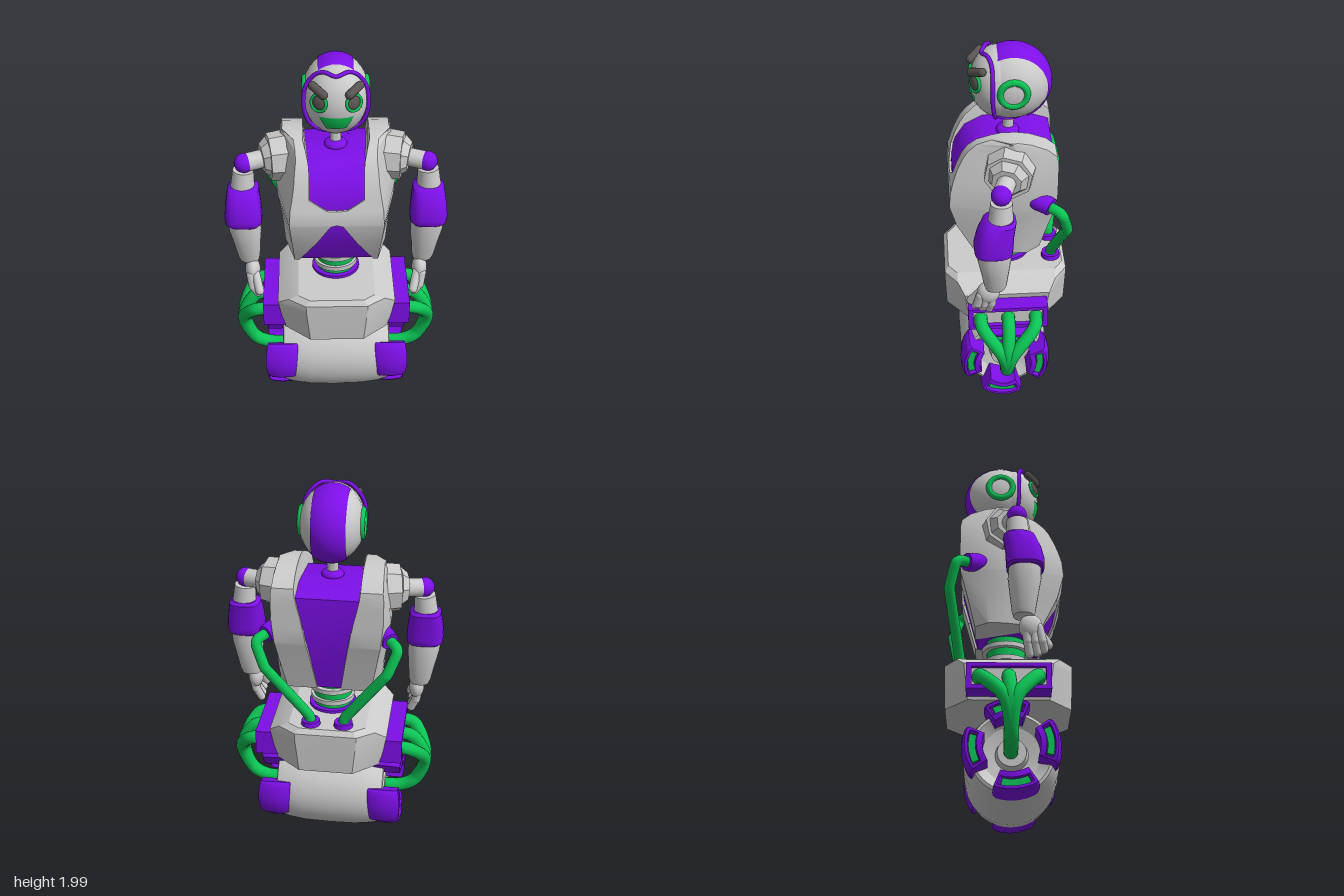
import * as THREE from 'three';
import { toCreasedNormals } from 'three/addons/utils/BufferGeometryUtils.js';

const material = (color) => new THREE.MeshStandardMaterial({ color, side: THREE.DoubleSide });
const grey = material(0xcccccc), purple = material(0x7d0fe8), green = material(0x0cc455), dark = material(0x5a5452);
const V = (x, y, z) => new THREE.Vector3(x, y, z);
const deg = Math.PI / 180;

// Reflected copy across x = 0, with the corner order reversed
function mirrored(geo) {
  const g = geo.clone().scale(-1, 1, 1);
  const n = g.attributes.position.count;
  const idx = g.index ? Array.from(g.index.array) : Array.from({ length: n }, (_, i) => i);
  for (let i = 0; i < idx.length; i += 3) [idx[i + 1], idx[i + 2]] = [idx[i + 2], idx[i + 1]];
  return g.setIndex(idx);
}

// Closed solid through rings of equal length, facing outward
function loft(rings, crease = 0.6) {
  const n = rings[0].length, pos = rings.flat(), idx = [];
  for (let i = 0; i < rings.length - 1; i++) for (let j = 0; j < n; j++) {
    const a = i * n + j, b = i * n + (j + 1) % n;
    idx.push(a, b, b + n, a, b + n, a + n);
  }
  [0, rings.length - 1].forEach((r, end) => {
    const mid = [0, 1, 2].map((k) => rings[r].reduce((s, p) => s + p[k], 0) / n);
    const c = pos.push(mid) - 1;
    for (let j = 0; j < n; j++) {
      const a = r * n + j, b = r * n + (j + 1) % n;
      if (end) idx.push(a, b, c); else idx.push(b, a, c);
    }
  });
  let volume = 0;
  for (let i = 0; i < idx.length; i += 3) {
    const [a, b, c] = [0, 1, 2].map((k) => V(...pos[idx[i + k]]));
    volume += a.dot(b.cross(c));
  }
  if (volume < 0) idx.reverse();
  const g = new THREE.BufferGeometry();
  g.setAttribute('position', new THREE.Float32BufferAttribute(pos.flat(), 3));
  return toCreasedNormals(g.setIndex(idx), crease);
}

// Rounded-square ring at height y
const ring = ([x, y, z, r], power = 0.75, n = 24) => Array.from({ length: n }, (_, i) => {
  const a = i / n * Math.PI * 2, f = (v) => Math.sign(v) * Math.abs(v) ** power * r;
  return [x + f(Math.cos(a)), y, z + f(Math.sin(a))];
});

// Section of [radius, x] points swept round the wheel axis
const sweep = (section, mid, half, steps = 16) => loft(Array.from({ length: steps + 1 }, (_, i) => {
  const t = i / steps * 2 - 1, a = mid + t * half;
  return section(t).map(([r, x]) => [x, 0.262 + r * Math.sin(a), 0.013 - r * Math.cos(a)]);
}), 0.5);

// Cylinder between two points
function rod(a, b, r1, r2 = r1, seg = 24) {
  const d = b.clone().sub(a), g = new THREE.CylinderGeometry(r2, r1, d.length(), seg);
  g.applyQuaternion(new THREE.Quaternion().setFromUnitVectors(V(0, 1, 0), d.normalize()));
  return toCreasedNormals(g.translate(...a.clone().add(b).multiplyScalar(0.5).toArray()), 0.6);
}
const ball = (x, y, z, rx, ry = rx, rz = rx) => new THREE.SphereGeometry(1, 32, 20).scale(rx, ry, rz).translate(x, y, z);
const hose = (pts, r, tension = 0.5, closed = false) => new THREE.TubeGeometry(
  new THREE.CatmullRomCurve3(pts.map((p) => V(...p)), closed, 'catmullrom', tension), 64, r, 12, closed);
const capsule = (a, b, r) => {
  const d = b.clone().sub(a), g = new THREE.CapsuleGeometry(r, d.length(), 6, 14);
  g.applyQuaternion(new THREE.Quaternion().setFromUnitVectors(V(0, 1, 0), d.normalize()));
  return g.translate(...a.clone().add(b).multiplyScalar(0.5).toArray());
};

export function createModel() {
  const model = new THREE.Group();
  const add = (name, geo, mat) => {
    const m = new THREE.Mesh(geo, mat);
    m.name = name;
    model.add(m);
  };
  const pair = (name, geo, mat) => {
    add(name + 'Left', geo, mat);
    add(name + 'Right', mirrored(geo), mat);
  };

  // Roller wheel with dished ends
  const half = [[0, 0.29], [0.07, 0.29], [0.08, 0.24], [0.14, 0.25], [0.19, 0.29], [0.205, 0.285], [0.222, 0.23], [0.234, 0.14]];
  const profile = [...half.map(([r, x]) => [r, -x]), [0.237, 0], ...half.slice().reverse()];
  const roller = new THREE.LatheGeometry(profile.map(([r, x]) => new THREE.Vector2(r, x)), 48);
  add('roller', toCreasedNormals(roller.rotateZ(-Math.PI / 2).translate(0, 0.247, 0.015), 0.5), grey);

  // Four crowned tread blocks on each end, grooved outside to hold a green arc
  const padSection = (t) => {
    const x = 0.385 - 0.012 * t * t, floor = Math.abs(t) < 0.8 ? 0.345 : x, e = Math.abs(t) === 1 ? 0.006 : 0;
    return [[0.138, 0.21], [0.22 - e, 0.21], [0.235 - e, 0.235], [0.24 - e, 0.3], [0.234 - e, 0.355], [0.222 - e, x],
      [0.208, x], [0.207, floor], [0.167, floor], [0.166, x], [0.138, x]];
  };
  for (let k = 0; k < 4; k++) {
    const a = (k * 90 - 6) * deg;
    pair('treadBlock' + k, sweep(padSection, a, 0.5), purple);
    pair('treadInset' + k, sweep(() => [[0.17, 0.33], [0.204, 0.33], [0.204, 0.365], [0.17, 0.365]], a, 0.36), green);
  }

  // Hips: stretched octagon with bevelled top
  const octagon = (y, x1, z1, x2, z2) => [[x1, z1], [x2, z2], [x2, -z2], [x1, -z1], [-x1, -z1], [-x2, -z2], [-x2, z2], [-x1, z1]]
    .map(([x, z]) => [x, y, z]);
  add('hips', loft([octagon(0.52, 0.14, 0.315, 0.275, 0.2), octagon(0.7, 0.158, 0.32, 0.308, 0.22),
    octagon(0.745, 0.16, 0.32, 0.25, 0.255), octagon(0.77, 0.14, 0.3, 0.2, 0.255)], 0.3), grey);

  // Side frames on the hips and the hoses running to the wheel hubs
  const rect = (x, y0, y1) => new THREE.Shape([[-x, y0], [x, y0], [x, y1], [-x, y1]].map((p) => new THREE.Vector2(...p)));
  const frame = rect(0.207, 0.535, 0.67);
  frame.holes.push(rect(0.18, 0.556, 0.65));
  pair('hipFrame', new THREE.ExtrudeGeometry(frame, { depth: 0.148, bevelEnabled: false })
    .rotateY(Math.PI / 2).translate(0.24, 0, 0), purple);
  pair('hipFramePanel', new THREE.BoxGeometry(0.1, 0.11, 0.37).translate(0.315, 0.603, 0), grey);
  [0.145, 0, -0.145].forEach((z, i) => pair('hubHose' + i, hose([[0.34, 0.6, z], [0.44, 0.575, z * 0.9],
    [0.503, 0.45, 0.008 + z * 0.2], [0.46, 0.31, 0.01], [0.38, 0.255, 0.01], [0.27, 0.247, 0.01]], 0.035), green));

  // Waist with rings
  const waist = (name, y0, y1, r, mat) => add(name, rod(V(0, y0, -0.01), V(0, y1, -0.01), r, r, 40), mat);
  waist('waistBase', 0.765, 0.785, 0.125, purple);
  waist('waistColumn', 0.77, 0.96, 0.1, green);
  waist('waistRingLower', 0.81, 0.835, 0.115, grey);
  waist('waistRingUpper', 0.88, 0.905, 0.125, grey);

  // Torso core
  const core = [[0.16, 0.942], [0.238, 1.1], [0.272, 1.235], [0.262, 1.33], [0.238, 1.4], [0.19, 1.475], [0.1, 1.52],
    [-0.12, 1.52], [-0.238, 1.48], [-0.238, 1.26], [-0.16, 0.942]];
  add('torsoCore', loft([-0.19, 0.19].map((x) => core.map(([z, y]) => [x, y, z]))), purple);

  // Torso shells, as [y, front z, back z, inner front x, front corner x, side x, back corner x, inner back x]
  const shell = [
    [0.94, 0.17, -0.17, 0.19, 0.215, 0.265, 0.215, 0.06], [1.1, 0.25, -0.21, 0.1, 0.225, 0.277, 0.245, 0.085],
    [1.22, 0.283, -0.243, 0.032, 0.235, 0.297, 0.265, 0.105], [1.23, 0.284, -0.246, 0, 0.235, 0.298, 0.267, 0.108],
    [1.308, 0.277, -0.25, 0, 0.23, 0.305, 0.275, 0.12], [1.31, 0.276, -0.25, 0.05, 0.23, 0.305, 0.275, 0.122],
    [1.365, 0.262, -0.25, 0.135, 0.22, 0.305, 0.28, 0.132], [1.43, 0.24, -0.25, 0.135, 0.21, 0.3, 0.28, 0.148],
    [1.49, 0.212, -0.25, 0.135, 0.205, 0.29, 0.28, 0.16], [1.53, 0.185, -0.243, 0.138, 0.2, 0.283, 0.275, 0.165],
    [1.57, 0.14, -0.195, 0.15, 0.2, 0.278, 0.272, 0.165], [1.6, 0.07, -0.115, 0.165, 0.21, 0.27, 0.268, 0.165],
    [1.61, 0.02, -0.05, 0.165, 0.21, 0.268, 0.265, 0.165]];
  pair('torsoShell', loft(shell.map(([y, zf, zb, xi, xc, xs, xb, xj]) => [[xi, y, zf], [xc, y, zf],
    [xs, y, zf * 0.45 + zb * 0.55], [xs, y, zf * 0.2 + zb * 0.8], [xb, y, zb], [xj, y, zb]]), 0.4), grey);

  // Back hoses and their sockets
  pair('backSocket', rod(V(0.25, 1.28, -0.13), V(0.315, 1.26, -0.215), 0.055, 0.045), purple);
  pair('backHose', hose([[0.29, 1.265, -0.18], [0.345, 1.25, -0.25], [0.352, 1.225, -0.27], [0.31, 1.12, -0.298],
    [0.29, 1.09, -0.296], [0.1, 0.83, -0.25], [0.085, 0.77, -0.245]], 0.028, 0.25), green);
  pair('hoseFoot', rod(V(0.085, 0.755, -0.245), V(0.085, 0.795, -0.245), 0.052, 0.047), purple);

  // Shoulders
  pair('shoulderHousing', rod(V(0.24, 1.46, -0.02), V(0.338, 1.46, 0), 0.13, 0.12, 8), grey);
  pair('shoulderCollar', rod(V(0.335, 1.46, 0), V(0.372, 1.457, 0.01), 0.105, 0.075, 8), grey);
  pair('shoulderAxle', rod(V(0.34, 1.457, 0), V(0.45, 1.45, 0.036), 0.047), grey);
  pair('shoulderBall', ball(0.46, 1.45, 0.04, 0.05), purple);

  // Arms
  pair('upperArm', rod(V(0.475, 1.28, 0.045), V(0.465, 1.41, 0.04), 0.065, 0.053), grey);
  pair('elbowSleeve', loft([[0.47, 1.325, 0.045, 0.062], [0.47, 1.31, 0.05, 0.08], [0.472, 1.24, 0.07, 0.09],
    [0.473, 1.17, 0.08, 0.096], [0.472, 1.14, 0.08, 0.094], [0.47, 1.13, 0.08, 0.085]].map((p) => ring(p, 0.65)), 0.7), purple);
  pair('forearm', loft([[0.47, 1.15, 0.077, 0.08], [0.468, 1.08, 0.076, 0.083], [0.461, 1.0, 0.073, 0.071],
    [0.455, 0.91, 0.071, 0.058], [0.453, 0.885, 0.071, 0.05]].map((p) => ring(p, 0.85)), 0.7), grey);

  // Hands: palm, curled fingers and thumb
  pair('palm', ball(0.438, 0.835, 0.105, 0.04, 0.065, 0.058), grey);
  [[0.155, 0.728], [0.12, 0.712], [0.085, 0.704]].forEach(([z, tip], i) => {
    pair('fingerBase' + i, capsule(V(0.447, 0.825, z * 0.8 + 0.02), V(0.437, 0.76, z + 0.005), 0.024), grey);
    pair('fingerTip' + i, capsule(V(0.437, 0.76, z + 0.005), V(0.412, tip, z + 0.015), 0.022), grey);
  });
  pair('thumb', capsule(V(0.422, 0.83, 0.14), V(0.402, 0.755, 0.192), 0.023), grey);

  // Neck
  add('neckBase', ball(0, 1.525, -0.02, 0.058, 0.028, 0.058), purple);
  add('neckPost', rod(V(0, 1.52, -0.02), V(0, 1.66, -0.03), 0.028), grey);
  add('neckCollar', rod(V(0, 1.6, -0.025), V(0, 1.625, -0.025), 0.036), grey);
  add('jawBase', rod(V(0, 1.635, -0.02), V(0, 1.69, -0.02), 0.075, 0.09), green);
  add('jawRim', new THREE.TorusGeometry(0.08, 0.008, 10, 36).rotateX(Math.PI / 2).translate(0, 1.637, -0.02), purple);

  // Head, face and crown stripe
  add('skull', ball(0, 1.805, -0.04, 0.163, 0.192, 0.192), grey);
  add('face', ball(0, 1.805, 0.025, 0.155, 0.182, 0.14), grey);
  add('crownStripe', new THREE.SphereGeometry(1, 48, 16, 132 * deg, 205 * deg, 59 * deg, 62 * deg)
    .rotateZ(Math.PI / 2).scale(0.166, 0.197, 0.197).translate(0, 1.803, -0.04), purple);
  add('faceRim', hose([[0, 1.96, 0.105], [0.06, 1.972, 0.08], [0.11, 1.943, 0.062], [0.15, 1.875, 0.06], [0.154, 1.76, 0.06],
    [0.12, 1.675, 0.05], [0.05, 1.635, 0.04], [-0.05, 1.635, 0.04], [-0.12, 1.675, 0.05], [-0.154, 1.76, 0.06],
    [-0.15, 1.875, 0.06], [-0.11, 1.943, 0.062], [-0.06, 1.972, 0.08]], 0.01, 0.5, true), purple);
  pair('earRing', new THREE.TorusGeometry(0.064, 0.017, 12, 40).rotateY(Math.PI / 2).translate(0.149, 1.81, -0.04), green);
  pair('earDisc', rod(V(0.12, 1.81, -0.04), V(0.157, 1.81, -0.04), 0.06), grey);

  // Eyes and brows, seated on the face surface
  const faceZ = (x, y) => 0.025 + 0.14 * Math.sqrt(Math.max(0, 1 - (x / 0.155) ** 2 - ((y - 1.805) / 0.182) ** 2));
  const seat = (geo, x, y, lift) => {
    const z = faceZ(x, y), n = V(x / 0.155 ** 2, (y - 1.805) / 0.182 ** 2, (z - 0.025) / 0.14 ** 2).normalize();
    geo.applyQuaternion(new THREE.Quaternion().setFromUnitVectors(V(0, 0, 1), n));
    return geo.translate(x + n.x * lift, y + n.y * lift, z + n.z * lift);
  };
  pair('eyeRing', seat(new THREE.TorusGeometry(0.04, 0.008, 10, 32), 0.083, 1.84, 0.002), green);
  pair('pupil', seat(new THREE.SphereGeometry(0.036, 24, 14).scale(1, 1, 0.4), 0.08, 1.842, 0.002), dark);
  pair('brow', seat(new THREE.CapsuleGeometry(0.021, 0.075, 6, 14).rotateZ(-60 * deg), 0.08, 1.897, 0.014), dark);

  // Mouth: trapezoid patch following the face
  const mouth = new THREE.PlaneGeometry(2, 1, 16, 6), p = mouth.attributes.position;
  for (let i = 0; i < p.count; i++) {
    const t = p.getY(i) + 0.5, x = p.getX(i) * (0.048 + 0.037 * t), y = 1.7 + 0.07 * t;
    p.setXYZ(i, x, y, faceZ(x, y) + 0.004);
  }
  mouth.computeVertexNormals();
  add('mouth', mouth, green);
  return model;
}
